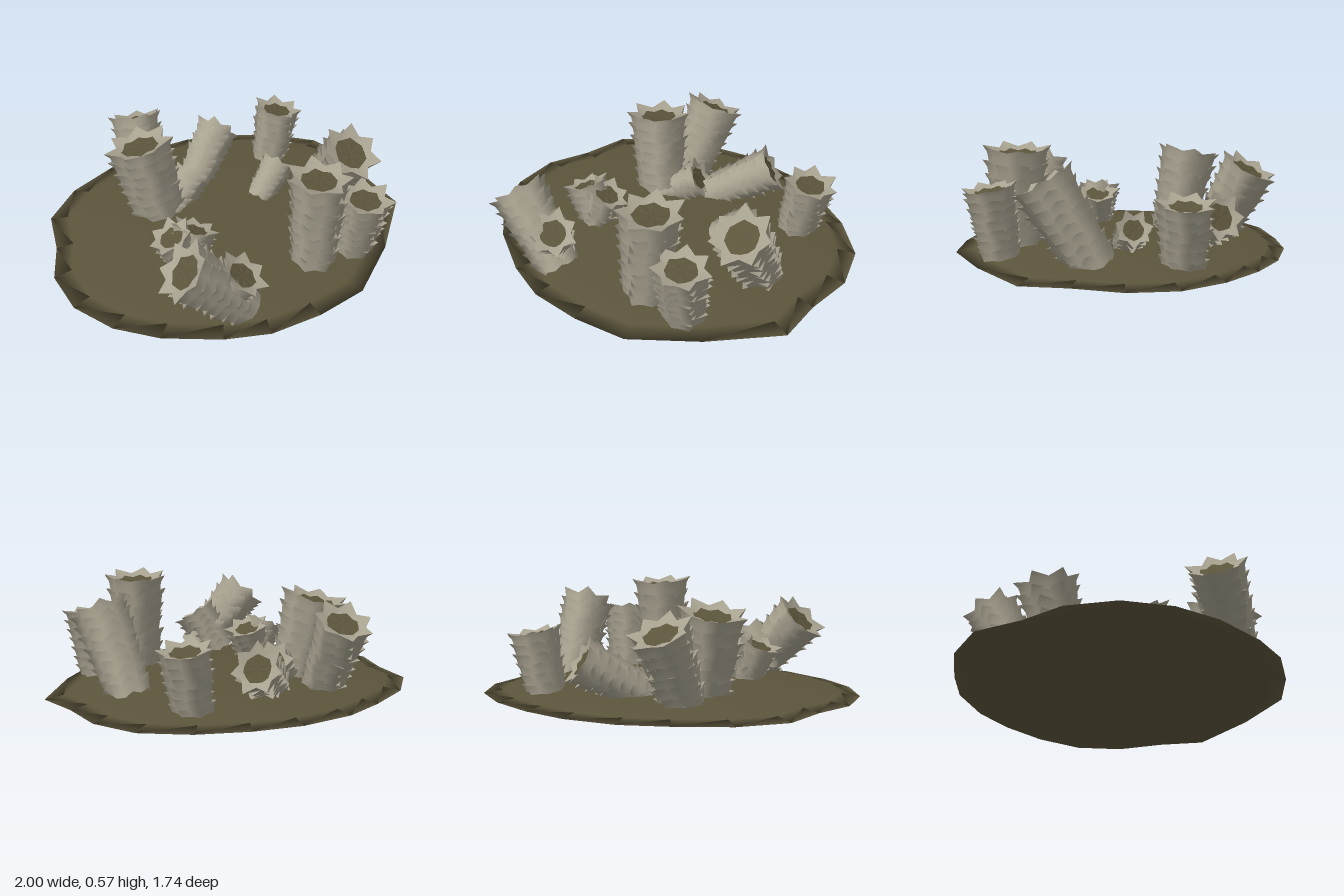
import * as THREE from 'three';

const stone = new THREE.MeshStandardMaterial({ color: 0xa8a290 });
stone.name = 'paleCoral';
const earth = new THREE.MeshStandardMaterial({ color: 0x5c553c });
earth.name = 'oliveRock';

const SIDES = 14; // seven star points

// Appends a strip of quads joining each ring to the next, sharing vertices within the strip
function addLoft(pos, idx, rings) {
  const n = rings[0].length;
  const start = pos.length / 3;
  for (const ring of rings) for (const p of ring) pos.push(p.x, p.y, p.z);
  for (let r = 0; r < rings.length - 1; r++) {
    for (let i = 0; i < n; i++) {
      const a = start + r * n + i;
      const b = start + r * n + (i + 1) % n;
      idx.push(a, b, b + n, a, b + n, a + n);
    }
  }
}

function toMesh(pos, idx, material, name) {
  const geo = new THREE.BufferGeometry();
  geo.setAttribute('position', new THREE.Float32BufferAttribute(pos, 3));
  geo.setIndex(idx);
  geo.computeVertexNormals();
  const mesh = new THREE.Mesh(geo, material);
  mesh.name = name;
  return mesh;
}

// Low rocky mound with an irregular rim
function makeMound() {
  const outline = [
    [0, .87], [.29, .85], [.62, .65], [.94, .38], [.95, .13], [1, -.13], [.94, -.38],
    [.76, -.58], [.53, -.73], [.29, -.83], [0, -.87], [-.25, -.83], [-.54, -.75],
    [-.77, -.59], [-.86, -.34], [-.98, -.13], [-1, .13], [-.91, .37], [-.75, .56],
    [-.5, .74], [-.28, .84],
  ];
  const levels = [[0, .004], [.5, .004], [.88, .003], [1, 0], [.9, .016], [.75, .034], [.5, .054], [.25, .066], [0, .07]];
  const rings = levels.map(([s, y]) => outline.map(([x, z]) => new THREE.Vector3(x * s, y, z * s)));
  const pos = [], idx = [];
  addLoft(pos, idx, rings);
  return toMesh(pos, idx, earth, 'mound');
}

// Tube of stacked flaring star-shaped cups, from base to top
function makeTube([base, top, radius, cups], seed) {
  const group = new THREE.Group();
  group.name = 'coralTube' + (seed + 1);
  const from = new THREE.Vector3(...base);
  const to = new THREE.Vector3(...top);
  const axis = to.clone().sub(from);
  const length = axis.length();
  const turn = new THREE.Quaternion().setFromUnitVectors(new THREE.Vector3(0, 1, 0), axis.normalize());

  const ring = (h, r, valley, twist) => Array.from({ length: SIDES }, (_, i) => {
    const a = i / SIDES * Math.PI * 2 + twist;
    const point = i % 2 === 0;
    const rr = r * (point ? 1 + .07 * Math.sin(i * 2.3 + seed * 1.7) : valley);
    const p = new THREE.Vector3(Math.sin(a) * rr, h + (point ? .06 * r : -.06 * r), Math.cos(a) * rr);
    p.applyQuaternion(turn).add(from);
    p.y = Math.max(p.y, .008);
    return p;
  });

  const pos = [], idx = [];
  const step = length / cups;
  let lip = null;
  for (let k = 0; k < cups; k++) {
    const twist = seed * .9 + .1 * Math.sin(k * 1.9 + seed);
    const r = radius * (.8 + .2 * (k + 1) / cups);
    const foot = ring((k - .25) * step, r * .82, .84, twist);
    if (lip) addLoft(pos, idx, [lip, foot]); // ledge above the cup below
    lip = ring((k + 1) * step, r, .7, twist);
    addLoft(pos, idx, [foot, ring((k + .5) * step, r * .87, .8, twist), lip]);
  }
  // rim sloping in to the mouth
  const lastTwist = seed * .9 + .1 * Math.sin((cups - 1) * 1.9 + seed);
  const mouth = ring(length - radius * .12, radius * .54, .95, lastTwist);
  addLoft(pos, idx, [lip, mouth]);
  group.add(toMesh(pos, idx, stone, 'tubeWall'));

  // floor of the mouth
  const floorPos = [], floorIdx = [];
  addLoft(floorPos, floorIdx, [mouth, ring(length - radius * .14, 0, 1, 0)]);
  group.add(toMesh(floorPos, floorIdx, earth, 'tubeMouth'));
  return group;
}

export function createModel() {
  const model = new THREE.Group();
  model.name = 'coralCluster';
  model.add(makeMound());

  // base, top centre, rim radius, number of cups
  const tubes = [
    [[-.21, .03, -.48], [-.15, .42, -.68], .165, 7],
    [[-.25, .03, -.26], [-.32, .48, -.34], .185, 7],
    [[.58, .03, -.37], [.64, .35, -.38], .15, 6],
    [[.27, .05, -.04], [.45, .18, -.11], .105, 6],
    [[.62, .03, .07], [.62, .44, .32], .17, 8],
    [[.02, .04, -.36], [.32, .23, -.54], .135, 7],
    [[-.2, .04, -.24], [-.01, .17, -.31], .12, 5],
    [[-.3, .04, .62], [-.61, .36, .55], .165, 7],
    [[-.39, .04, .52], [-.31, .26, .64], .135, 6],
    [[-.36, .04, .2], [-.45, .25, .18], .125, 5],
    [[-.38, .04, .2], [-.3, .24, .18], .125, 5],
    [[.21, .03, .53], [.23, .55, .52], .18, 7],
    [[.45, .03, .57], [.47, .38, .62], .155, 7],
  ];
  tubes.forEach((tube, i) => model.add(makeTube(tube, i)));
  return model;
}
